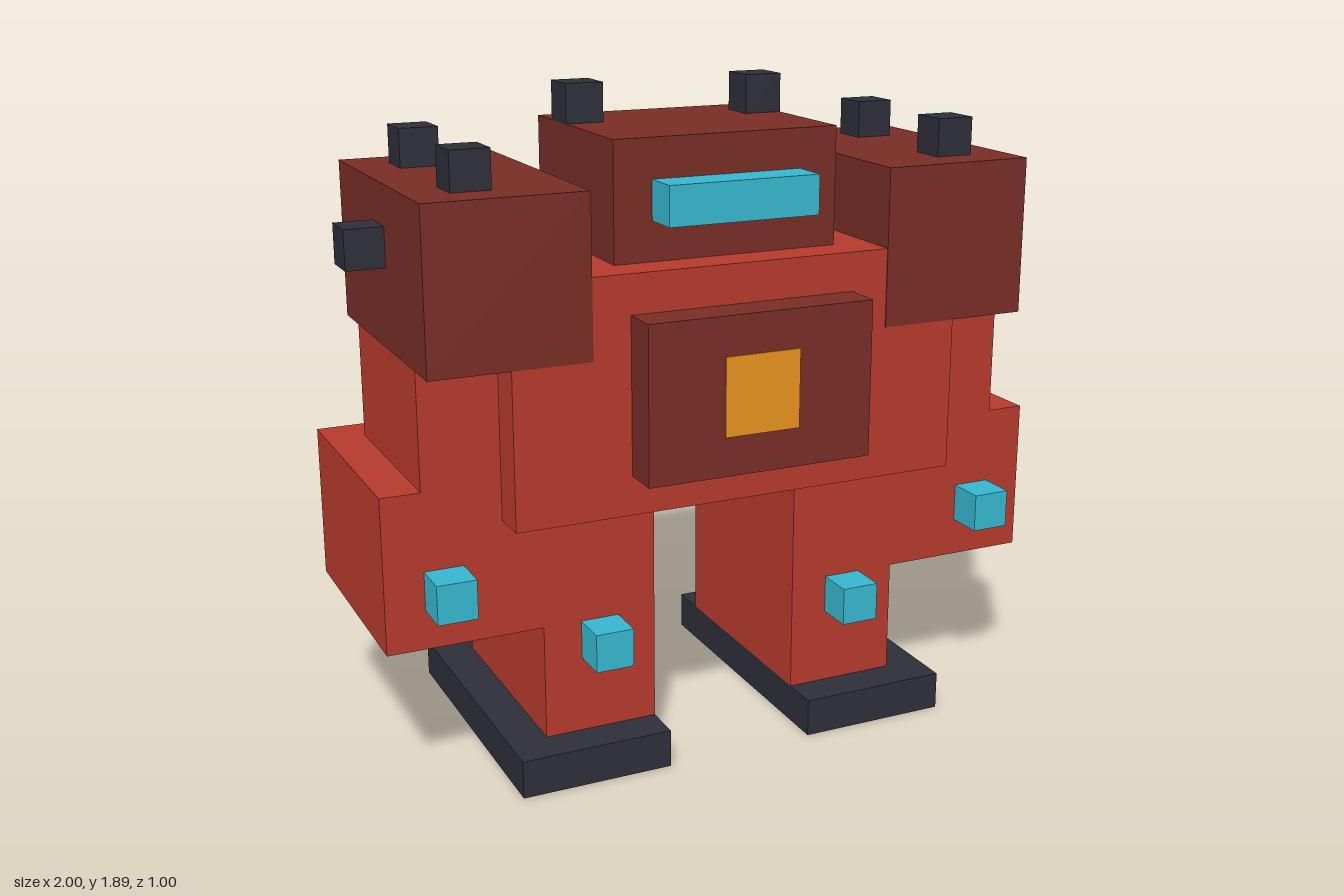
import * as THREE from 'three';

const U = 1 / 9; // block unit

function material(name, color) {
  const m = new THREE.MeshStandardMaterial({ color });
  m.name = name;
  return m;
}

export function createModel() {
  const red = material('red armour', 0xb53a2d);
  const maroon = material('dark red armour', 0x772d25);
  const charcoal = material('charcoal', 0x2d2e38);
  const cyan = material('cyan light', 0x36b6ce);
  const orange = material('orange core', 0xe8921e);

  const model = new THREE.Group();
  model.name = 'blockRobot';

  // Box from its limits in block units; grow lifts it clear of flush faces
  function block(parent, name, mat, [x0, x1], [y0, y1], [z0, z1], grow = 0) {
    const geo = new THREE.BoxGeometry(
      Math.abs(x1 - x0) * U + grow, (y1 - y0) * U + grow, (z1 - z0) * U + grow);
    const mesh = new THREE.Mesh(geo, mat);
    mesh.name = name;
    mesh.position.set((x0 + x1) / 2 * U, (y0 + y1) / 2 * U, (z0 + z1) / 2 * U);
    parent.add(mesh);
  }

  // Torso with chest plate, glowing core and rear collar
  block(model, 'torso', red, [-6, 6], [7, 13], [-3.5, 3.5]);
  block(model, 'chestPlate', maroon, [-3, 3], [8, 12], [3.5, 4.5]);
  block(model, 'chestCore', orange, [-1, 1], [9, 11], [4.47, 4.53]);
  block(model, 'rearCollar', charcoal, [-3, 3], [12, 13], [-3.53, -3.47]);

  // Head and visor
  block(model, 'head', maroon, [-3, 3], [13, 16], [-2.5, 2.5]);
  block(model, 'visor', cyan, [-2, 2], [14, 15], [2.5, 3.5]);

  // Mirrored limbs and fittings
  for (const [side, s] of [['left', 1], ['right', -1]]) {
    const half = new THREE.Group();
    half.name = side + 'Side';
    model.add(half);
    const part = (name, mat, [x0, x1], y, z, grow) =>
      block(half, side + name, mat, [s * x0, s * x1], y, z, grow);

    part('Antenna', charcoal, [2, 3], [16, 17], [-1.5, -0.5]);

    // Arm
    part('Shoulder', maroon, [4, 8], [11, 15], [-3.5, 3.5], 0.005);
    part('ShoulderFrontStud', charcoal, [6, 7], [15, 16], [1.5, 2.5]);
    part('ShoulderRearStud', charcoal, [6, 7], [15, 16], [-2.5, -1.5]);
    part('ShoulderSideStud', charcoal, [8, 9], [13, 14], [-0.5, 0.5]);
    part('UpperArm', red, [6, 8], [8, 11], [-2.5, 2.5]);
    part('Forearm', red, [5, 9], [4, 8], [-3.5, 2.5]);
    part('ForearmLight', cyan, [7, 8], [5, 6], [2.5, 3.5]);

    // Leg
    part('Leg', red, [2, 5], [1, 7], [-3.5, 2.5]);
    part('KneeLight', cyan, [3, 4], [3, 4], [2.5, 3.5]);
    part('Foot', charcoal, [2, 6], [0, 1], [-4.5, 3.5]);
  }

  return model;
}
